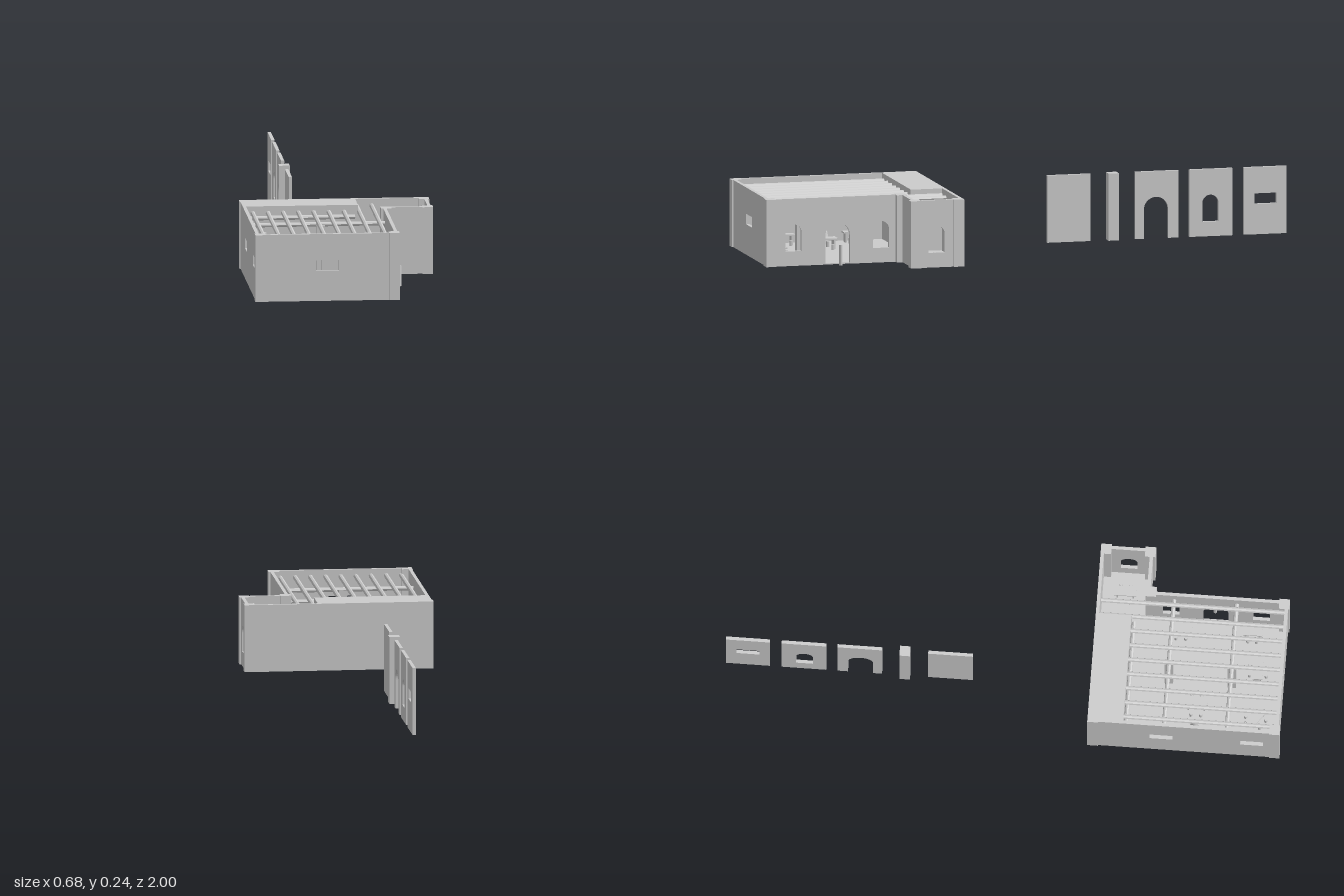
import * as THREE from 'three';

const H = 0.243, T = 0.012;
const mat = new THREE.MeshStandardMaterial({ color: 0xcccccc, flatShading: true, side: THREE.DoubleSide });

export function createModel() {
  const root = new THREE.Group();

  const add = (name, geo, x = 0, y = 0, z = 0, parent = root) => {
    const m = new THREE.Mesh(geo, mat);
    m.name = name;
    m.position.set(x, y, z);
    parent.add(m);
    return m;
  };
  // Box given by its limits on each axis
  const block = (name, x0, x1, y0, y1, z0, z1, parent) =>
    add(name, new THREE.BoxGeometry(x1 - x0, y1 - y0, z1 - z0),
      (x0 + x1) / 2, (y0 + y1) / 2, (z0 + z1) / 2, parent);

  // Openings are placed by their centre along the wall
  const slot = (c) => ({ c, w: 0.082, y0: 0.11, y1: 0.148 });
  const win = (c) => ({ c, w: 0.06, y0: 0.053, y1: 0.15, arch: true });
  const door = (c) => ({ c, w: 0.09, y0: 0, y1: 0.15, arch: true });

  const trace = (p, { c, w, y0, y1, arch }) => {
    const r = w / 2;
    if (arch) {
      p.lineTo(c - r, y0);
      p.lineTo(c - r, y1 - r);
      p.absarc(c, y1 - r, r, Math.PI, 0, true);
      p.lineTo(c + r, y0);
    } else {
      p.lineTo(c - r, y0);
      p.lineTo(c - r, y1);
      p.lineTo(c + r, y1);
      p.lineTo(c + r, y0);
    }
  };

  // Wall from a to b along x, or along z when alongZ; at = centre of its thickness
  const wall = (name, a, b, at, alongZ, openings = []) => {
    const s = new THREE.Shape();
    s.moveTo(a, 0);
    for (const o of openings.filter((o) => o.y0 === 0)) trace(s, o);
    s.lineTo(b, 0);
    s.lineTo(b, H);
    s.lineTo(a, H);
    s.closePath();
    for (const o of openings.filter((o) => o.y0 > 0)) {
      const hole = new THREE.Path();
      hole.moveTo(o.c - o.w / 2, o.y0);
      trace(hole, o);
      hole.closePath();
      s.holes.push(hole);
    }
    const geo = new THREE.ExtrudeGeometry(s, { depth: T, bevelEnabled: false, curveSegments: 10 });
    geo.translate(0, 0, -T / 2);
    if (alongZ) geo.rotateY(-Math.PI / 2);
    geo.translate(alongZ ? at : 0, 0, alongZ ? 0 : at);
    return add(name, geo);
  };

  // Floors
  block('mainFloor', -0.335, 0.17, 0, 0.004, 0.315, 0.99);
  block('towerFloor', 0.17, 0.332, 0, 0.004, 0.315, 0.495);

  // Outer walls
  wall('frontWall', -0.335, 0.172, 0.989, false, [slot(-0.081)]);
  wall('backWall', -0.335, 0.335, 0.317, false);
  wall('leftWall', 0.312, 0.994, -0.331, true, [slot(0.575), slot(0.9)]);
  wall('rightWall', 0.5, 0.994, 0.166, true, [win(0.575), door(0.735), win(0.898)]);
  wall('towerRightWall', 0.312, 0.5, 0.328, true, [win(0.412)]);
  wall('towerFrontWall', 0.17, 0.335, 0.493, false);

  // Store room: inner walls and flat roof
  wall('storeFrontWall', -0.33, 0.07, 0.433, false);
  wall('storeSideWall', 0.32, 0.44, 0.07, true);
  block('storeRoof', -0.337, 0.064, H - 0.012, H, 0.311, 0.428);

  // Corner pillars
  const P = 0.038;
  for (const [x, z] of [[-0.34, 0.962], [0.14, 0.962], [0.152, 0.483], [0.302, 0.47], [0.302, 0.311], [-0.34, 0.311]])
    block('cornerPillar', x, x + P, 0, H, z, z + P);

  // Roof beams along z, carried by two cross beams and posts
  const log = (name, r, len, x, y, z, alongX) => {
    const g = new THREE.CylinderGeometry(r, r, len, 8);
    if (alongX) g.rotateZ(Math.PI / 2); else g.rotateX(Math.PI / 2);
    add(name, g, x, y, z);
  };
  for (let i = 0; i < 9; i++) {
    const x = -0.301 + i * 0.0545;
    const z0 = x > 0.07 ? 0.325 : 0.43;
    log('roofBeam', 0.0085, 0.985 - z0, x, 0.218, (0.985 + z0) / 2, false);
  }
  for (const z of [0.585, 0.81]) {
    log('crossBeam', 0.008, 0.49, -0.082, 0.202, z, true);
    block('beamPost', -0.086, -0.056, 0.004, 0.2, z - 0.015, z + 0.015);
  }
  log('wallBeam', 0.008, 0.39, -0.13, 0.202, 0.449, true);

  // Round domed oven with a chimney
  const ovenProfile = [[0.04, 0], [0.04, 0.025], [0.036, 0.045], [0.026, 0.062], [0.014, 0.072], [0.012, 0.19], [0, 0.19]]
    .map(([r, y]) => new THREE.Vector2(r, y));
  add('oven', new THREE.LatheGeometry(ovenProfile, 20), -0.285, 0.004, 0.69);

  // Tables with stools on both long sides
  const table = (x, z, w, d, turn = 0, sides = [-1, 1]) => {
    const g = new THREE.Group();
    g.name = 'tableSet';
    g.position.set(x, 0.004, z);
    g.rotation.y = turn;
    root.add(g);
    block('tableTop', -w / 2, w / 2, 0.034, 0.039, -d / 2, d / 2, g);
    for (const i of [-1, 1]) {
      block('tableLeg', -w * 0.35, w * 0.35, 0, 0.034, i * d * 0.36 - 0.003, i * d * 0.36 + 0.003, g);
      for (const s of sides)
        add('stool', new THREE.CylinderGeometry(0.006, 0.006, 0.02, 8), s * (w / 2 + 0.012), 0.01, i * d * 0.22, g);
    }
  };
  table(-0.285, 0.56, 0.036, 0.07, 0, [1]);
  table(-0.285, 0.81, 0.036, 0.07, 0, [1]);
  table(-0.165, 0.69, 0.048, 0.08);
  table(-0.2, 0.905, 0.04, 0.08, 0.95);
  table(-0.018, 0.9, 0.036, 0.085, Math.PI / 2);
  table(0.122, 0.87, 0.036, 0.07, 0, [-1]);
  table(0.115, 0.615, 0.036, 0.08, 0, [-1]);
  table(0.24, 0.405, 0.038, 0.08);

  // Short post outside the door
  add('doorPost', new THREE.CylinderGeometry(0.0065, 0.0065, 0.074, 10), 0.2, 0.037, 0.73);

  // Row of loose wall pieces behind the building
  const X = -0.118;
  wall('loosePlainPanel', -0.275, -0.115, X, true);
  block('loosePillar', X - 0.021, X + 0.017, 0, H, -0.377, -0.339);
  wall('looseDoorPanel', -0.6, -0.44, X, true, [door(-0.517)]);
  wall('looseWindowPanel', -0.8, -0.64, X, true, [win(-0.718)]);
  wall('looseSlotPanel', -1, -0.842, X, true, [slot(-0.921)]);

  return root;
}
